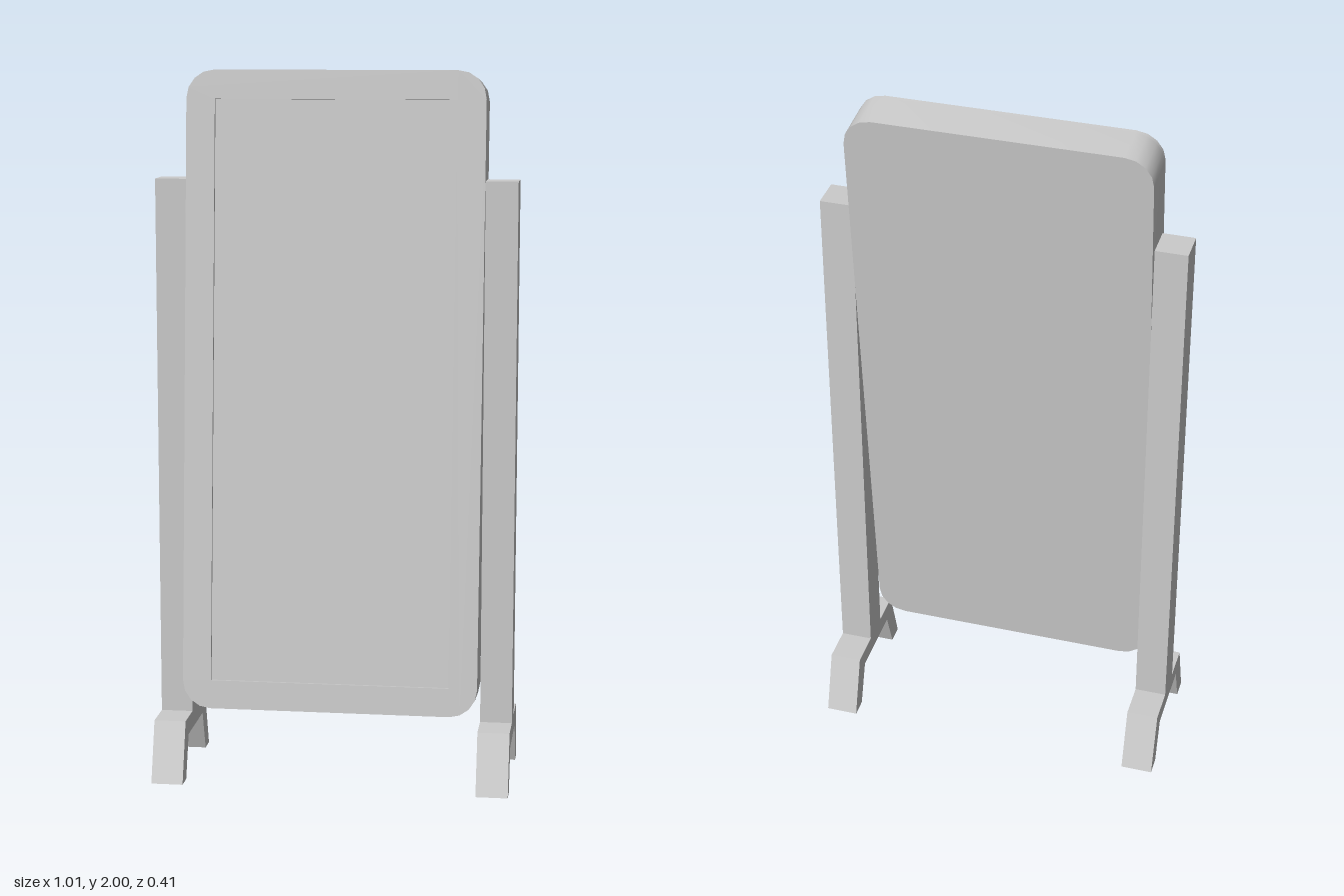
import * as THREE from 'three';
import { toCreasedNormals } from 'three/addons/utils/BufferGeometryUtils.js';

const WIDTH = 0.83, HEIGHT = 1.784, DEPTH = 0.128, RADIUS = 0.078;
const MARGIN = 0.08, RECESS = 0.01, TILT = -0.0855;
const POST_WIDTH = 0.09;

const material = new THREE.MeshStandardMaterial({ color: 0xcccccc });

function addMesh(parent, name, geometry) {
  const mesh = new THREE.Mesh(geometry, material);
  mesh.name = name;
  parent.add(mesh);
  return mesh;
}

// Rounded rectangle centred on the origin
function roundedRect(w, h, r) {
  const x = w / 2 - r, y = h / 2 - r, q = Math.PI / 2;
  const shape = new THREE.Shape();
  shape.moveTo(x + r, -y);
  [[x, y], [-x, y], [-x, -y], [x, -y]].forEach(([cx, cy], i) =>
    shape.absarc(cx, cy, r, i * q, (i + 1) * q, false));
  return shape;
}

function slab(shape, depth) {
  const geometry = new THREE.ExtrudeGeometry(shape, { depth, bevelEnabled: false, curveSegments: 2 });
  return toCreasedNormals(geometry, 0.9);
}

export function createModel() {
  const model = new THREE.Group();
  model.name = 'standingMirror';

  // Tilted mirror: solid backing with a raised rim around the glass
  const mirror = new THREE.Group();
  mirror.name = 'mirror';
  mirror.position.set(0, 1.106, 0.047);
  mirror.rotation.x = TILT;
  model.add(mirror);

  const backing = addMesh(mirror, 'mirrorBacking', slab(roundedRect(WIDTH, HEIGHT, RADIUS), DEPTH - RECESS));
  backing.position.z = -DEPTH / 2;

  const rimShape = roundedRect(WIDTH, HEIGHT, RADIUS);
  const gx = WIDTH / 2 - MARGIN, gy = HEIGHT / 2 - MARGIN;
  rimShape.holes.push(new THREE.Path([[-gx, -gy], [-gx, gy], [gx, gy], [gx, -gy]]
    .map(([x, y]) => new THREE.Vector2(x, y))));
  const rim = addMesh(mirror, 'mirrorRim', slab(rimShape, RECESS));
  rim.position.z = DEPTH / 2 - RECESS;

  // Side stands: post and splayed feet share one mirrored side profile
  const half = [[0.046, 1.7], [0.046, 0.17], [0.15, 0.17], [0.204, 0], [0.15, 0], [0.107, 0.12]];
  const outline = [...half, ...half.map(([z, y]) => [-z, y]).reverse()];
  const standShape = new THREE.Shape(outline.map(([z, y]) => new THREE.Vector2(z, y)));
  const standGeometry = new THREE.ExtrudeGeometry(standShape, { depth: POST_WIDTH, bevelEnabled: false });
  standGeometry.translate(0, 0, -POST_WIDTH / 2).rotateY(Math.PI / 2);

  for (const [name, side] of [['leftStand', 1], ['rightStand', -1]]) {
    addMesh(model, name, standGeometry).position.x = side * (WIDTH + POST_WIDTH) / 2;
  }
  return model;
}
